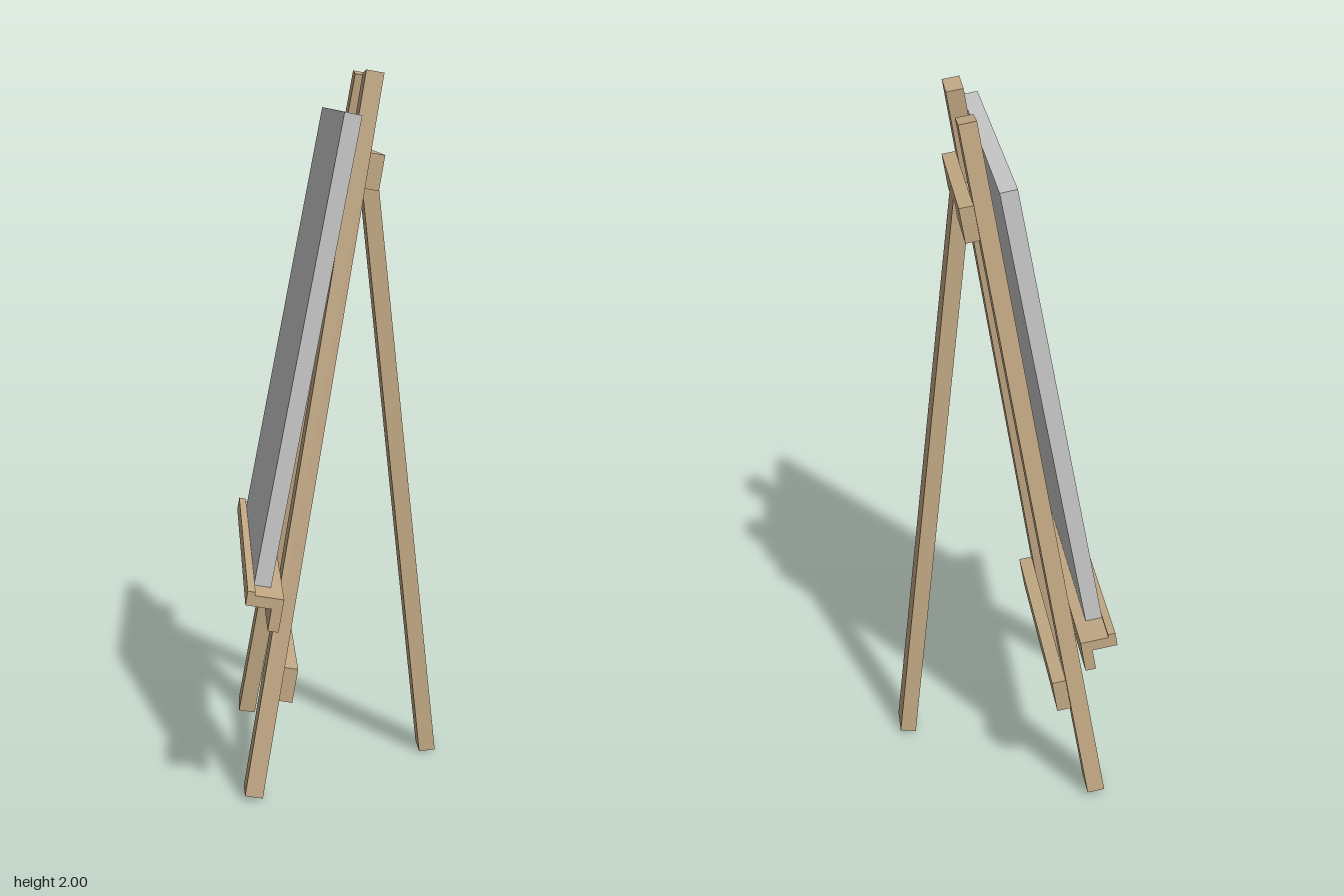
import * as THREE from 'three';

const deg = Math.PI / 180;

export function createModel() {
  const easel = new THREE.Group();
  easel.name = 'easel';
  const wood = new THREE.MeshStandardMaterial({ color: 0xc4aa85 });
  const grey = new THREE.MeshStandardMaterial({ color: 0xcccccc });

  function box(parent, name, size, pos, material = wood) {
    const mesh = new THREE.Mesh(new THREE.BoxGeometry(...size), material);
    mesh.name = name;
    mesh.position.set(...pos);
    parent.add(mesh);
    return mesh;
  }
  // Bar running across z, given by its x and y limits
  function bar(parent, name, x0, x1, y0, y1, length) {
    return box(parent, name, [x1 - x0, y1 - y0, length], [(x0 + x1) / 2, (y0 + y1) / 2, 0]);
  }

  // Leaning front frame, facing -x
  const frame = new THREE.Group();
  frame.name = 'frontFrame';
  frame.rotation.z = -10 * deg;
  easel.add(frame);

  // Two splayed front legs
  for (const side of [1, -1]) {
    const leg = box(frame, side > 0 ? 'frontLegA' : 'frontLegB',
      [0.05, 2.026, 0.1], [-0.2625, 0.971, side * 0.275]);
    leg.rotation.x = -side * 5.63 * deg;
  }

  // Cross bars behind the legs
  bar(frame, 'upperCrossBar', -0.2375, -0.1975, 1.668, 1.767, 0.482);
  bar(frame, 'lowerCrossBar', -0.2375, -0.1975, 0.235, 0.333, 0.731);

  // Ledge: shelf, front lip and backing strip
  bar(frame, 'ledgeShelf', -0.387, -0.2875, 0.548, 0.578, 1.128);
  bar(frame, 'ledgeLip', -0.387, -0.366, 0.578, 0.587, 1.128);
  bar(frame, 'ledgeStrip', -0.317, -0.2875, 0.487, 0.548, 1.128);

  // Canvas resting on the ledge, leaning a little further
  const canvas = box(easel, 'canvas', [0.047, 1.289, 0.916], [-0.115, 1.257, 0], grey);
  canvas.rotation.z = -11 * deg;

  // Single rear leg, slightly off centre
  const rear = box(easel, 'rearLeg', [0.047, 1.755, 0.1], [0.172, 0.876, 0.012]);
  rear.rotation.z = 5.95 * deg;

  return easel;
}
